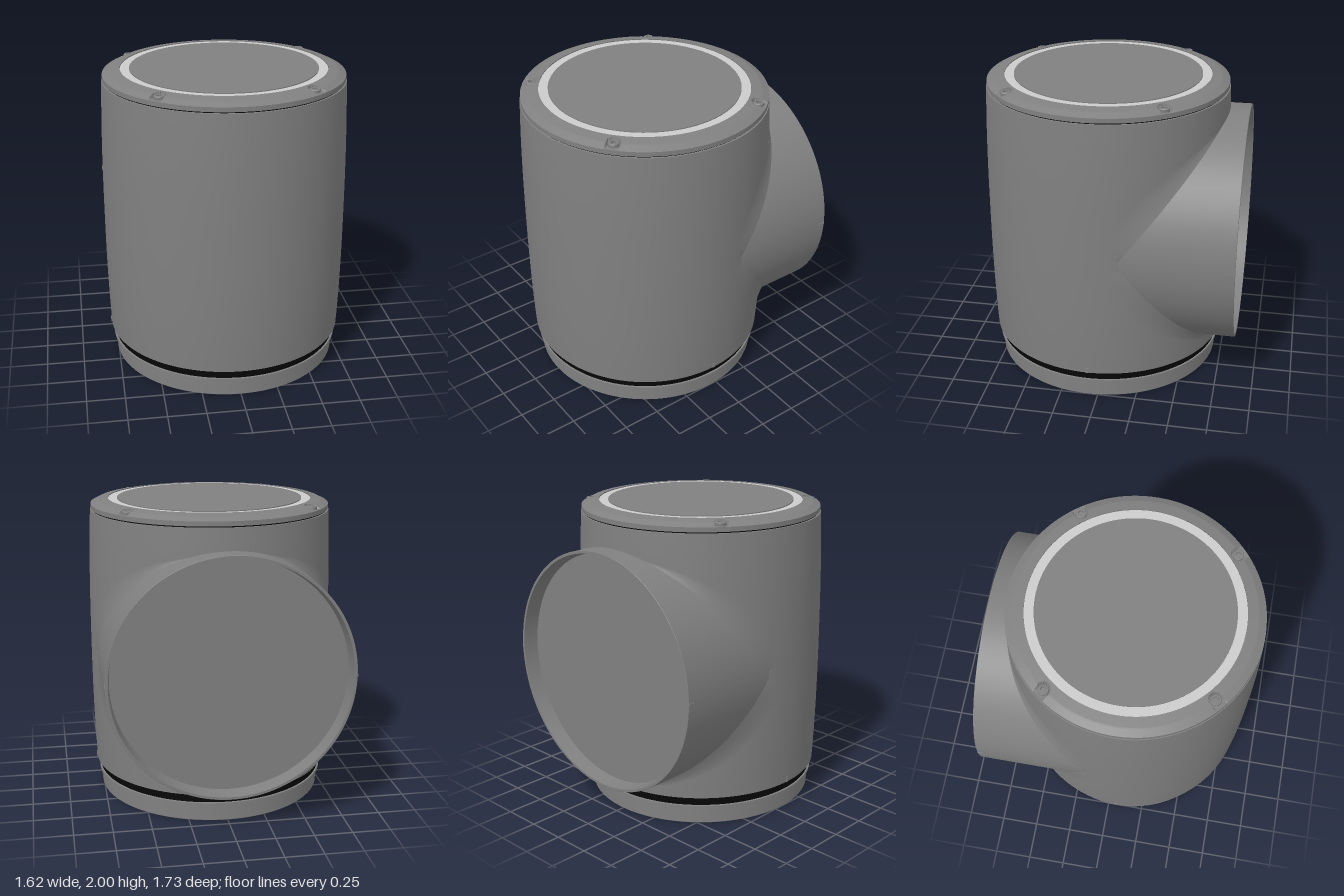
import * as THREE from 'three';
import { toCreasedNormals } from 'three/addons/utils/BufferGeometryUtils.js';
import { ParametricGeometry } from 'three/addons/geometries/ParametricGeometry.js';

const AXIS_Z = 0.06;      // the upright housing sits slightly forward
const BRANCH_R = 0.783;   // radius of the rear port
const BRANCH_Y = 1.004;   // height of the port axis

const grey = new THREE.MeshStandardMaterial({ color: 0x808080 });
const greyDouble = new THREE.MeshStandardMaterial({ color: 0x808080, side: THREE.DoubleSide });
const light = new THREE.MeshStandardMaterial({ color: 0xcccccc });
const black = new THREE.MeshStandardMaterial({ color: 0x060606 });

// Slightly barrelled housing radius
const bodyRadius = (y) => 0.79 + 0.018 * (1 - Math.abs((y - 1.06) / 0.87) ** 2.5);

function lathe(points, segments = 128) {
  return new THREE.LatheGeometry(points.map(([r, y]) => new THREE.Vector2(r, y)), segments);
}

function add(parent, name, geometry, material, crease = 0.4) {
  const mesh = new THREE.Mesh(crease ? toCreasedNormals(geometry, crease) : geometry, material);
  mesh.name = name;
  parent.add(mesh);
  return mesh;
}

// Web from the V-shaped crease on the port, running level until it is tangent to the housing
function webPoint(side) {
  return (u, v, target) => {
    const phi = u * Math.PI;
    const rise = BRANCH_R * Math.cos(phi);
    const y = BRANCH_Y + rise;
    const x = BRANCH_R * Math.sin(phi);
    const z = -0.73 + 0.78 * (BRANCH_R - Math.abs(rise)) - AXIS_Z;
    const reach = Math.hypot(x, z);
    const r = Math.min(reach, bodyRadius(y) + 0.001);
    const angle = Math.atan2(x, -z) + Math.acos(r / reach);
    target.set(
      side * THREE.MathUtils.lerp(x, r * Math.sin(angle), v),
      y,
      THREE.MathUtils.lerp(z, -r * Math.cos(angle), v),
    );
  };
}

export function createModel() {
  const model = new THREE.Group();
  model.name = 'pipeJoint';
  const upright = new THREE.Group();
  upright.name = 'uprightHousing';
  upright.position.z = AXIS_Z;
  model.add(upright);

  // Spigot with a locating flange and a small hole below
  add(upright, 'baseSpigot', lathe([
    [0, 0.03], [0.035, 0.03], [0.035, 0], [0.75, 0], [0.755, 0.005], [0.755, 0.115],
    [0.775, 0.115], [0.775, 0.132], [0.74, 0.132], [0.74, 0.2],
  ]), grey);
  add(upright, 'sealBand', lathe([
    [0.74, 0.135], [0.765, 0.135], [0.765, 0.187], [0.74, 0.187],
  ]), black);

  // Barrelled housing wall
  const wall = [[0.74, 0.195]];
  for (let i = 0; i <= 24; i++) {
    const y = 0.195 + (1.928 - 0.195) * i / 24;
    wall.push([bodyRadius(y), y]);
  }
  wall.push([0.775, 1.928]);
  add(upright, 'housingWall', lathe(wall), grey);
  add(upright, 'capSeam', lathe([[0.778, 1.92], [0.778, 1.945]]), black);

  // Screw positions: x and z from the housing axis
  const screws = [];
  for (const side of [-1, 1]) screws.push([side * 0.585, -0.445], [side * 0.472, 0.555]);

  // Cap with two sloping bands, finely divided so the screw pockets come out clean
  const capProfile = [[0.77, 1.936], [0.786, 1.936], [0.786, 1.966]];
  for (let i = 1; i <= 8; i++) capProfile.push([0.786 - 0.048 * i / 8, 1.966 + 0.023 * i / 8]);
  for (let i = 1; i <= 10; i++) capProfile.push([0.738 - 0.068 * i / 10, 1.989 + 0.011 * i / 10]);
  const cap = lathe(capProfile, 720);
  const pos = cap.attributes.position;

  // Round-ended pockets, open outward, one per screw
  for (let i = 0; i < pos.count; i++) {
    const x = pos.getX(i), z = pos.getZ(i);
    for (const [sx, sz] of screws) {
      const r = Math.hypot(sx, sz);
      const outward = Math.max(0, (x * sx + z * sz) / r - r);
      const gap = Math.hypot(x - sx, z - sz);
      if (gap * gap - outward * outward < 0.042 ** 2) pos.setY(i, Math.min(pos.getY(i), 1.966));
    }
  }
  add(upright, 'cap', cap, grey);

  // Light ring set just below the cap face, around the centre disc
  add(upright, 'capRing', lathe([[0.67, 1.994], [0.61, 1.994]]), light);
  add(upright, 'capRingWall', lathe([[0.67, 2.0], [0.67, 1.993]]), grey);
  add(upright, 'capDisc', lathe([[0.61, 1.993], [0.61, 2.0], [0, 2.0]]), grey);

  // Socket head screws
  const head = lathe([
    [0.034, 1.96], [0.034, 1.983], [0.03, 1.988], [0.018, 1.988], [0.018, 1.97], [0, 1.97],
  ], 24);
  for (const [x, z] of screws) add(upright, 'capScrew', head, grey).position.set(x, 0, z);

  // Rear port: thin-walled tube with a recessed end plate
  const port = lathe([
    [BRANCH_R, 0], [BRANCH_R, 0.863], [0.781, 0.865], [0.765, 0.865], [0.752, 0.765], [0, 0.765],
  ]);
  port.rotateX(-Math.PI / 2);
  add(model, 'rearPort', port, grey).position.y = BRANCH_Y;

  for (const side of [-1, 1]) {
    // Webs joining port and housing
    add(upright, 'portWeb', new ParametricGeometry(webPoint(side), 96, 8), greyDouble, 0);

    // Alignment marks on the port rim and the housing foot
    add(model, 'portMark', new THREE.BoxGeometry(0.006, 0.016, 0.042), grey)
      .position.set(side * 0.784, BRANCH_Y, -0.842);
    add(model, 'footMark', new THREE.BoxGeometry(0.006, 0.035, 0.018), grey)
      .position.set(side * 0.794, 0.214, AXIS_Z);
  }
  return model;
}
